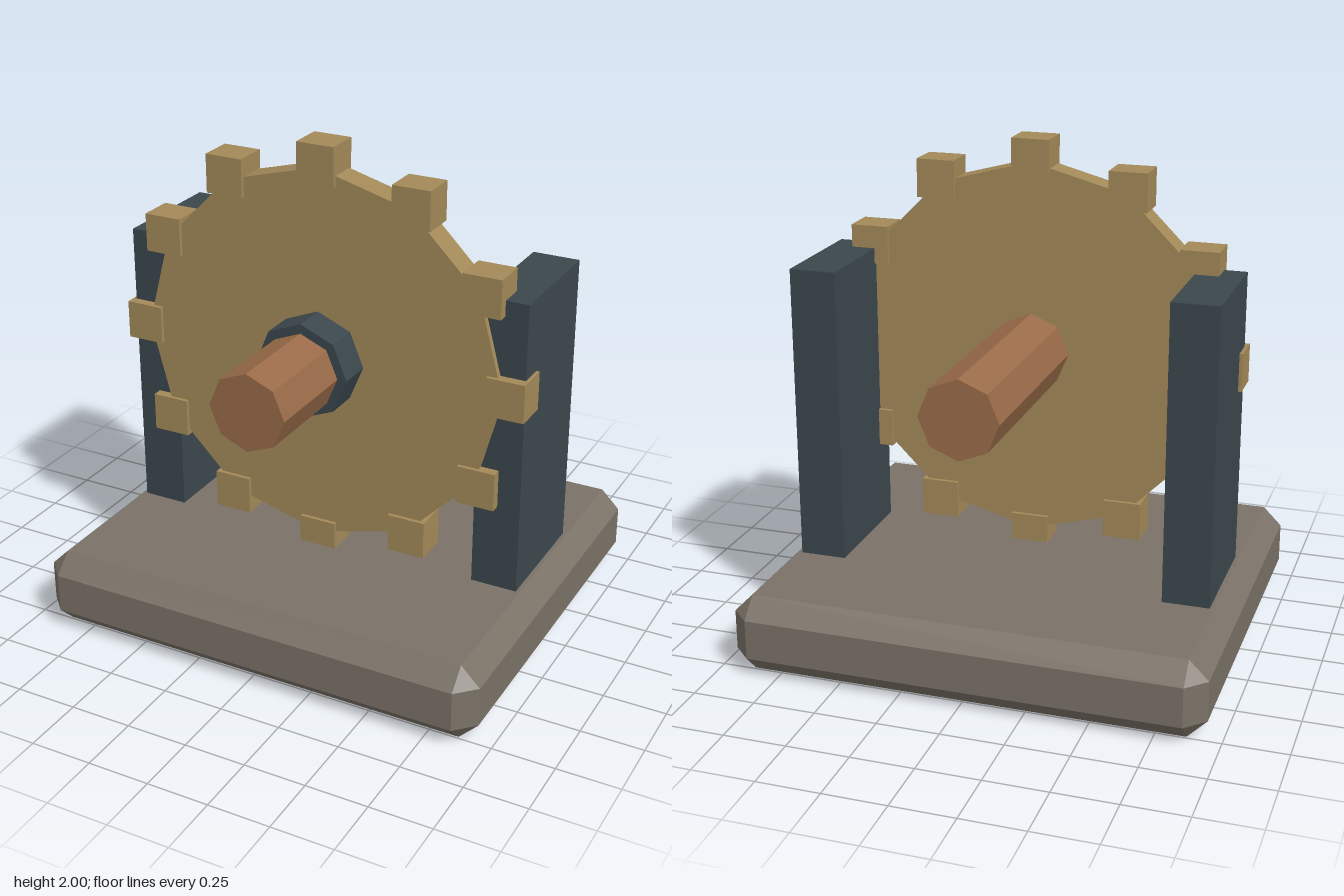
import * as THREE from 'three';
import { ConvexGeometry } from 'three/addons/geometries/ConvexGeometry.js';

const AXLE_Y = 1.137;

function material(name, color) {
  const m = new THREE.MeshStandardMaterial({ color });
  m.name = name;
  return m;
}

// Box with one-step bevels on every edge
function bevelledBox(w, h, d, b) {
  const points = [];
  for (const sx of [-1, 1]) for (const sy of [-1, 1]) for (const sz of [-1, 1]) {
    const x = w / 2, y = h / 2, z = d / 2;
    points.push(
      new THREE.Vector3(sx * x, sy * (y - b), sz * (z - b)),
      new THREE.Vector3(sx * (x - b), sy * y, sz * (z - b)),
      new THREE.Vector3(sx * (x - b), sy * (y - b), sz * z));
  }
  return new ConvexGeometry(points);
}

// Faceted cylinder lying along z, from z0 to z1
function prism(radius, sides, z0, z1) {
  const g = new THREE.CylinderGeometry(radius, radius, z1 - z0, sides)
    .rotateX(Math.PI / 2)
    .translate(0, AXLE_Y, (z0 + z1) / 2)
    .toNonIndexed();
  g.computeVertexNormals();
  return g;
}

export function createModel() {
  const stone = material('stone', 0x7a7267);
  const iron = material('iron', 0x3b474d);
  const brass = material('brass', 0xa38958);
  const wood = material('wood', 0x9a6b49);

  const model = new THREE.Group();
  model.name = 'gearStand';
  const add = (name, geometry, mat, parent = model) => {
    const mesh = new THREE.Mesh(geometry, mat);
    mesh.name = name;
    parent.add(mesh);
    return mesh;
  };

  // Base slab
  add('base', bevelledBox(1.886, 0.315, 1.636, 0.077), stone).position.y = 0.1575;

  // Upright posts
  for (const side of [1, -1]) {
    add(side > 0 ? 'leftPost' : 'rightPost', new THREE.BoxGeometry(0.188, 1.2, 0.503), iron)
      .position.set(side * 0.756, 0.915, -0.062);
  }

  // Axle and its collar
  add('axle', prism(0.157, 8, -0.757, 0.757), wood);
  add('collar', prism(0.196, 8, 0.16, 0.352), iron);

  // Gear wheel with upright square teeth
  const gear = new THREE.Group();
  gear.name = 'gear';
  model.add(gear);
  add('gearDisc', prism(0.77, 12, 0.104, 0.214), brass, gear);
  const toothGeometry = new THREE.BoxGeometry(0.155, 0.155, 0.142);
  for (let i = 0; i < 12; i++) {
    const a = (i / 12) * Math.PI * 2;
    add('tooth' + (i + 1), toothGeometry, brass, gear)
      .position.set(Math.cos(a) * 0.786, AXLE_Y + Math.sin(a) * 0.786, 0.159);
  }
  return model;
}
